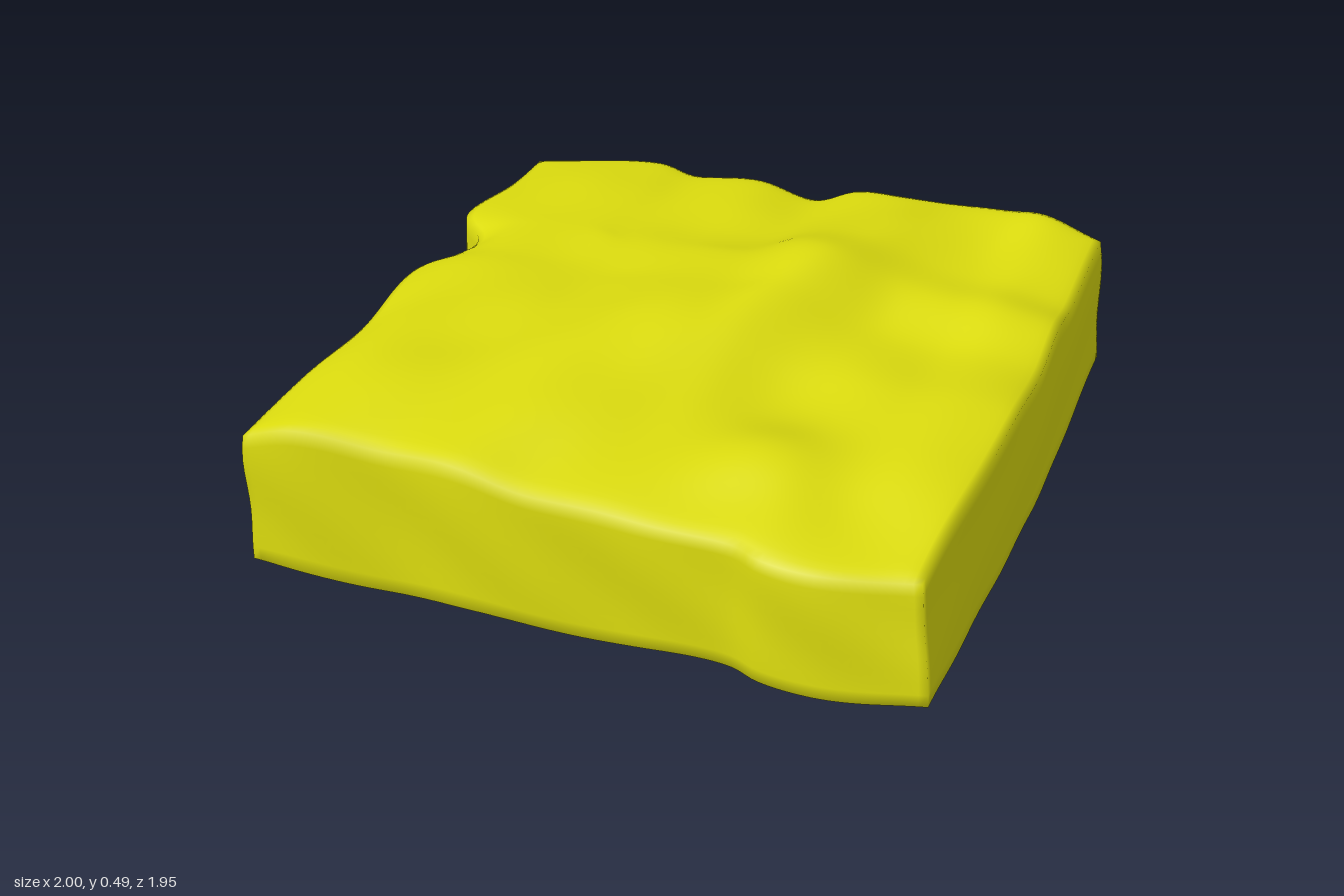
import * as THREE from 'three';
import { mergeVertices } from 'three/addons/utils/BufferGeometryUtils.js';

// Edge curve from [x, top height, z] points
const edge = (pts) => new THREE.CatmullRomCurve3(pts.map((p) => new THREE.Vector3(...p)), false, 'centripetal');

// Four irregular sides of the slab
const back = edge([[-0.37, 0.37, -0.98], [-0.2, 0.4, -0.91], [-0.05, 0.41, -0.86], [0.03, 0.4, -0.8], [0.2, 0.41, -0.73],
  [0.33, 0.39, -0.65], [0.42, 0.41, -0.63], [0.53, 0.41, -0.57], [0.65, 0.4, -0.55], [0.78, 0.41, -0.49], [0.87, 0.43, -0.44], [1, 0.4, -0.37]]);
const front = edge([[-1, 0.36, 0.36], [-0.9, 0.4, 0.41], [-0.68, 0.39, 0.5], [-0.53, 0.39, 0.58], [-0.4, 0.365, 0.64],
  [-0.2, 0.35, 0.72], [0, 0.34, 0.81], [0.05, 0.335, 0.86], [0.15, 0.325, 0.91], [0.38, 0.315, 0.97]]);
const left = edge([[-0.37, 0.37, -0.98], [-0.44, 0.39, -0.8], [-0.56, 0.39, -0.61], [-0.55, 0.39, -0.53], [-0.59, 0.39, -0.41],
  [-0.66, 0.395, -0.34], [-0.78, 0.39, -0.03], [-0.88, 0.39, 0.15], [-1, 0.36, 0.36]]);
const right = edge([[1, 0.4, -0.37], [0.87, 0.37, -0.08], [0.81, 0.39, 0.06], [0.74, 0.36, 0.22], [0.65, 0.38, 0.42],
  [0.56, 0.37, 0.6], [0.46, 0.35, 0.8], [0.38, 0.315, 0.97]]);
const corners = [back.getPoint(0), back.getPoint(1), front.getPoint(0), front.getPoint(1)];

// Blend the four sides into one patch
function patch(u, v) {
  const p = new THREE.Vector3();
  p.addScaledVector(back.getPointAt(u), 1 - v).addScaledVector(front.getPointAt(u), v);
  p.addScaledVector(left.getPointAt(v), 1 - u).addScaledVector(right.getPointAt(v), u);
  p.addScaledVector(corners[0], -(1 - u) * (1 - v)).addScaledVector(corners[1], -u * (1 - v));
  return p.addScaledVector(corners[2], -(1 - u) * v).addScaledVector(corners[3], -u * v);
}

const bump = (x, z, cx, cz, r) => Math.exp(-((x - cx) ** 2 + (z - cz) ** 2) / (r * r));

// Diagonal ridge, hollows and fine ripples of the upper face
function relief(x, z) {
  const s = 0.76 * (x - 0.17) - 0.65 * (z + 0.07);
  const d = 0.65 * (x - 0.17) + 0.76 * (z + 0.07);
  const ridge = 0.09 * Math.exp(-((s / (s > 0 ? 0.6 : 0.5)) ** 2)) * Math.exp(-((d / (d > 0 ? 0.15 : 0.23)) ** 2));
  const hollows = -0.03 * bump(x, z, 0.15, 0.32, 0.18) - 0.015 * bump(x, z, 0.25, 0.72, 0.12) + 0.025 * bump(x, z, 0.12, 0.57, 0.13);
  return ridge + hollows + 0.002 * Math.sin(d * 24 + 2 * Math.sin(s * 5)) + 0.002 * Math.sin(s * 17 + d * 9);
}

// Gently uneven underside
function underside(x, z) {
  return 0.035 + 0.006 * Math.sin(x * 9 + z * 4) * Math.sin(z * 8 - x * 3) - 0.022 * bump(x, z, 0.25, 0, 0.28)
    + 0.03 * bump(x, z, 1, -0.37, 0.15) + 0.004 * Math.sin(x * 19 - z * 13);
}

export function createModel() {
  const group = new THREE.Group();
  const yellowStone = new THREE.MeshStandardMaterial({ color: 0xdbdb0e });
  yellowStone.name = 'yellowStone';

  let geo = new THREE.BoxGeometry(1, 1, 1, 80, 10, 80);
  geo.deleteAttribute('normal');
  geo.deleteAttribute('uv');
  geo = mergeVertices(geo);

  const pos = geo.attributes.position;
  for (let i = 0; i < pos.count; i++) {
    const u = pos.getX(i) + 0.5, t = pos.getY(i) + 0.5, v = pos.getZ(i) + 0.5;
    const p = patch(u, v);
    const rim = Math.exp(-Math.min(u, 1 - u, v, 1 - v) / 0.012);
    // Walls upright; the right side, front corner and left notch lean in
    const tilt = 0.015 * u ** 8 + 0.025 * bump(p.x, p.z, 0.38, 0.97, 0.25) + 0.06 * bump(p.x, p.z, -0.55, -0.5, 0.09);
    const wave = 0.005 * Math.sin(Math.PI * t) * Math.sin(p.x * 13 + p.z * 9 + t * 5);
    const lean = 1 - tilt * t - 0.005 * t ** 8 + wave;
    const x = p.x * lean, z = p.z * lean;
    const top = p.y + relief(x, z) - 0.008 * rim;
    const low = underside(x, z) + 0.004 * rim;
    pos.setXYZ(i, x, low + (top - low) * t, z);
  }

  // Rest on the ground, centred
  geo.computeBoundingBox();
  const mid = geo.boundingBox.getCenter(new THREE.Vector3());
  geo.translate(-mid.x, -geo.boundingBox.min.y, -mid.z);
  geo.computeVertexNormals();

  const slab = new THREE.Mesh(geo, yellowStone);
  slab.name = 'stoneSlab';
  group.add(slab);
  return group;
}
